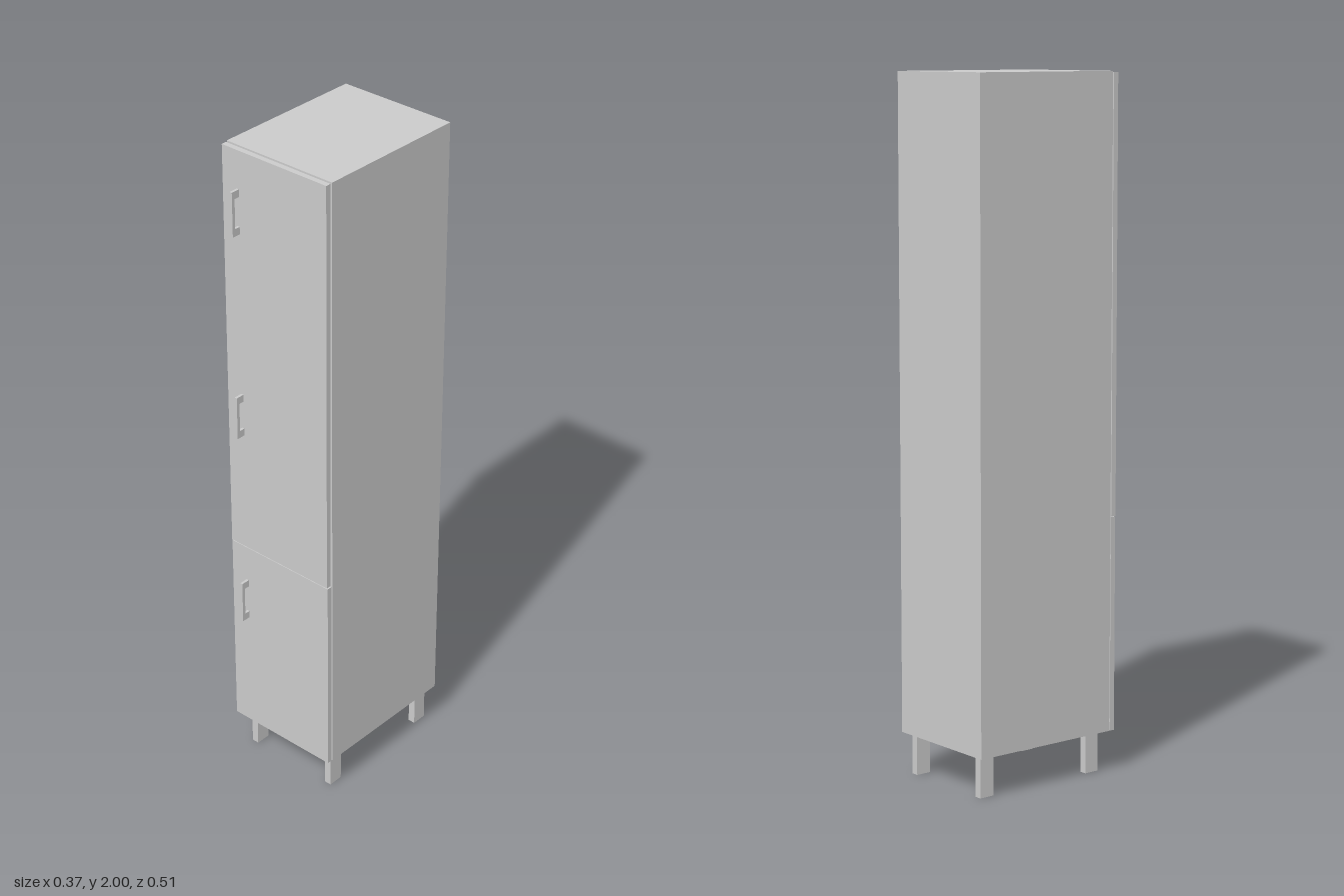
import * as THREE from 'three';

const grey = new THREE.MeshStandardMaterial({ color: 0xcccccc });

// Box given by its minimum and maximum on each axis
function box(name, [x0, x1], [y0, y1], [z0, z1]) {
  const mesh = new THREE.Mesh(new THREE.BoxGeometry(x1 - x0, y1 - y0, z1 - z0), grey);
  mesh.position.set((x0 + x1) / 2, (y0 + y1) / 2, (z0 + z1) / 2);
  mesh.name = name;
  return mesh;
}

// C-shaped pull: a side profile extruded across its width
function handleGeometry(width) {
  const h = 0.066, depth = 0.027, bar = 0.01, post = 0.022;
  const profile = new THREE.Shape([
    [0, -h], [depth, -h], [depth, h], [0, h],
    [0, h - post], [depth - bar, h - post], [depth - bar, post - h], [0, post - h],
  ].map(([x, y]) => new THREE.Vector2(x, y)));
  const geometry = new THREE.ExtrudeGeometry(profile, { depth: width, bevelEnabled: false });
  geometry.translate(0, 0, -width / 2);
  return geometry.rotateY(-Math.PI / 2);
}

export function createModel() {
  const model = new THREE.Group();
  model.name = 'tallCabinet';

  // Carcass and the two stacked doors
  model.add(box('carcass', [-0.183, 0.183], [0.12, 2], [-0.257, 0.212]));
  model.add(box('upperDoor', [-0.184, 0.179], [0.747, 1.996], [0.214, 0.23]));
  model.add(box('lowerDoor', [-0.183, 0.182], [0.12, 0.745], [0.214, 0.23]));

  // Door pulls
  const pull = handleGeometry(0.008);
  [[-0.13, 1.818], [-0.13, 1.19], [-0.126, 0.566]].forEach(([x, y]) => {
    const handle = new THREE.Mesh(pull, grey);
    handle.name = 'handle';
    handle.position.set(x, y, 0.23);
    model.add(handle);
  });

  // Legs with thin mounting plates under the carcass
  for (const side of [-1, 1]) {
    for (const z of [0.168, -0.217]) {
      const leg = new THREE.Group();
      leg.name = (z > 0 ? 'front' : 'back') + (side > 0 ? 'Left' : 'Right') + 'Leg';
      leg.add(box('post', [-0.011, 0.011], [0, 0.118], [-0.023, 0.023]));
      leg.add(box('mountingPlate', [-0.025, 0.025], [0.117, 0.12], [-0.03, 0.03]));
      leg.position.set(side * 0.146, 0, z);
      model.add(leg);
    }
  }
  return model;
}
